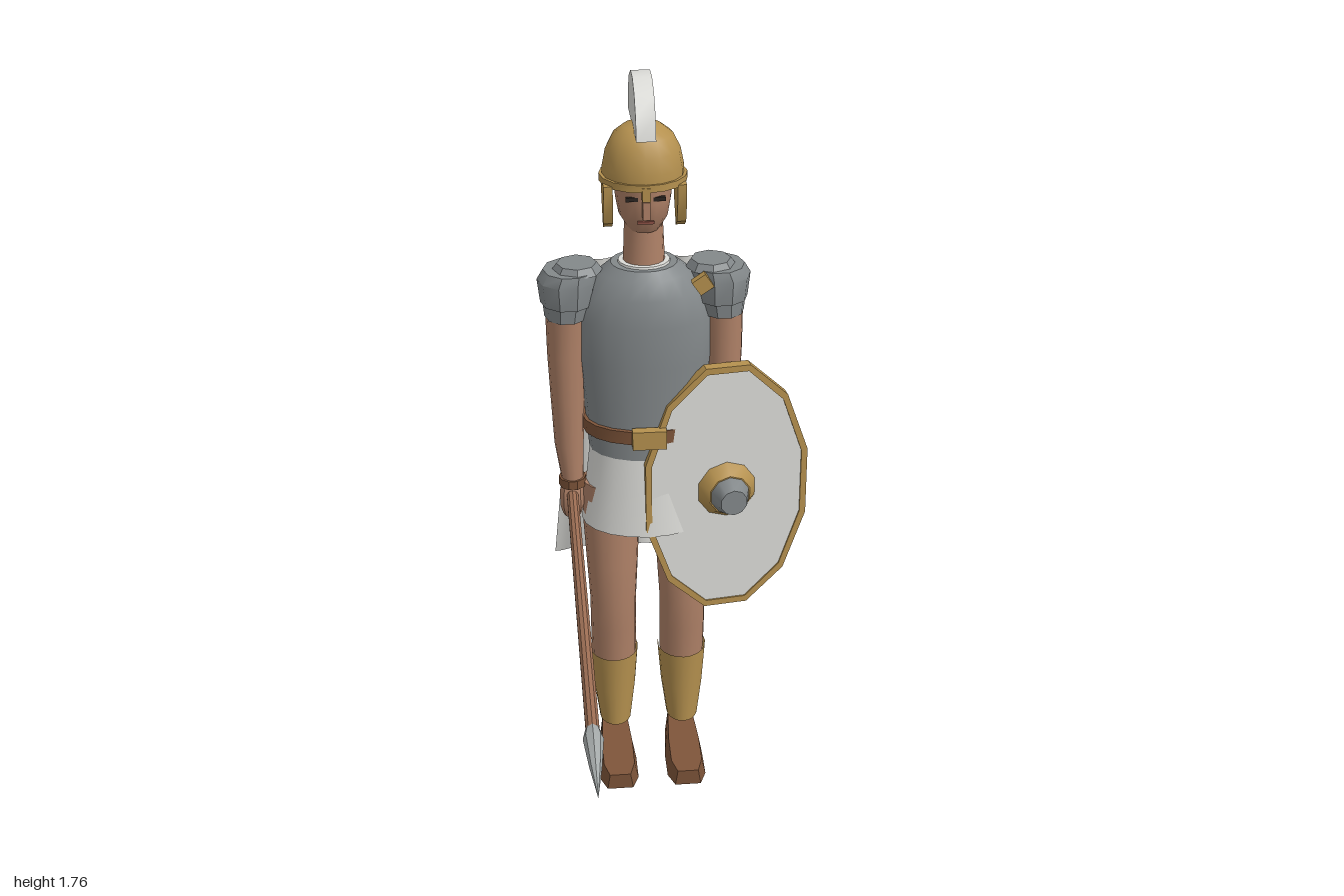
import * as THREE from 'three';
import { toCreasedNormals } from 'three/addons/utils/BufferGeometryUtils.js';

const CX = -0.068, CZ = -0.148; // body axis
const mat = (name, color, side = THREE.FrontSide) => {
  const m = new THREE.MeshStandardMaterial({ color, side });
  m.name = name;
  return m;
};

export function createModel() {
  const skin = mat('skin', 0xb08268);
  const gold = mat('bronze', 0xb5914f, THREE.DoubleSide);
  const steel = mat('steel', 0x83888a);
  const cloth = mat('whiteCloth', 0xdcdcd8, THREE.DoubleSide);
  const leather = mat('leather', 0x7d5439);
  const wood = mat('wood', 0x9c6e54);
  const blade = mat('blade', 0xa6abab);
  const dark = mat('darkEye', 0x2b2420);
  const lip = mat('lip', 0x8c5044);

  const root = new THREE.Group();
  root.name = 'spearman';
  const add = (name, geo, material, x = 0, y = 0, z = 0, parent = root) => {
    const m = new THREE.Mesh(toCreasedNormals(geo, 0.62), material);
    m.name = name;
    m.position.set(x, y, z);
    parent.add(m);
    return m;
  };
  const box = (name, w, h, d, material, x, y, z, parent) =>
    add(name, new THREE.BoxGeometry(w, h, d), material, x, y, z, parent);

  // Elliptical cross-sections [x, y, z, rx, rz] listed from bottom to top
  const loft = (rows, n = 16, start = 0, arc = Math.PI * 2, caps = true) => {
    const p = [], idx = [], w = n + 1;
    for (const [x, y, z, rx, rz] of rows)
      for (let j = 0; j <= n; j++) {
        const a = start + (arc * j) / n;
        p.push(x + Math.cos(a) * rx, y, z + Math.sin(a) * rz);
      }
    for (let i = 0; i < rows.length - 1; i++)
      for (let j = 0; j < n; j++) {
        const a = i * w + j, c = a + w;
        idx.push(a, c, a + 1, a + 1, c, c + 1);
      }
    if (caps) {
      const top = (rows.length - 1) * w, b = p.length / 3;
      p.push(...rows[0].slice(0, 3), ...rows[rows.length - 1].slice(0, 3));
      for (let j = 0; j < n; j++) idx.push(b, j, j + 1, b + 1, top + j + 1, top + j);
    }
    const g = new THREE.BufferGeometry();
    g.setAttribute('position', new THREE.Float32BufferAttribute(p, 3));
    g.setIndex(idx);
    return g;
  };
  const body = (rows, n) => loft(rows.map(([y, rx, rz]) => [CX, y, CZ, rx, rz]), n);
  const plate = (points, depth) => new THREE.ExtrudeGeometry(
    new THREE.Shape(points.map(([a, b]) => new THREE.Vector2(a, b))), { depth, bevelEnabled: false });

  // Torso, belt and skirt
  add('cuirass', body([[0.89, 0.133, 0.098], [1.0, 0.142, 0.1], [1.12, 0.153, 0.105],
    [1.22, 0.155, 0.107], [1.285, 0.135, 0.1], [1.325, 0.1, 0.085], [1.345, 0.075, 0.07]], 20), steel);
  add('collar', body([[1.335, 0.062, 0.06], [1.35, 0.058, 0.056]], 16), cloth);
  add('belt', body([[0.937, 0.147, 0.109], [0.97, 0.148, 0.11]], 20), leather);
  box('buckle', 0.078, 0.045, 0.024, gold, CX, 0.956, -0.034);
  add('skirt', body([[0.695, 0.155, 0.114], [0.8, 0.143, 0.107], [0.9, 0.131, 0.097]], 20), cloth);

  // Head and face
  add('neck', body([[1.32, 0.048, 0.045], [1.44, 0.043, 0.042]], 14), skin);
  add('head', body([[1.428, 0.036, 0.05], [1.46, 0.055, 0.07], [1.5, 0.062, 0.077],
    [1.57, 0.064, 0.08]], 16), skin);
  box('nose', 0.016, 0.04, 0.026, skin, CX, 1.493, -0.067);
  box('nasalGuard', 0.018, 0.03, 0.02, gold, CX, 1.53, -0.062);
  box('mouth', 0.036, 0.006, 0.008, lip, CX, 1.46, -0.078);

  // Helmet
  const dome = [[0.09, 1.545], [0.089, 1.57], [0.082, 1.605], [0.066, 1.637], [0.042, 1.656], [0, 1.664]];
  add('helmetDome', new THREE.LatheGeometry(dome.map(([r, y]) => new THREE.Vector2(r, y)), 16), gold, CX, 0, CZ);
  add('helmetBrim', body([[1.535, 0.097, 0.095], [1.551, 0.097, 0.095]], 16), gold);
  box('neckGuard', 0.17, 0.025, 0.05, gold, CX, 1.5, -0.245);

  // Crest: a faceted half fan
  const fan = [];
  for (let i = 0; i <= 7; i++) {
    const a = (Math.PI * i) / 7;
    fan.push([0.17 + Math.cos(a) * 0.126, 1.65 + Math.sin(a) * 0.113]);
  }
  const crest = add('crest', plate(fan, 0.042), cloth, CX - 0.021);
  crest.rotation.y = Math.PI / 2;

  // Paired parts
  for (const s of [-1, 1]) {
    const side = new THREE.Group();
    side.name = s > 0 ? 'leftSide' : 'rightSide';
    root.add(side);
    const X = (d) => CX + s * d;

    box('eye', 0.026, 0.009, 0.009, dark, X(0.03), 1.513, -0.079, side);
    const cheek = add('cheekGuard', plate([[0.085, 1.54], [0.2, 1.54], [0.175, 1.485], [0.135, 1.432],
      [0.105, 1.45], [0.085, 1.5]], 0.02), gold, X(0.08) - 0.01, 0, 0, side);
    cheek.rotation.y = Math.PI / 2;

    // Arm with layered shoulder guard
    const ax = (d) => X(0.18 + d);
    add('arm', loft([[ax(-0.005), 0.81, -0.142, 0.026, 0.029], [ax(0), 0.9, -0.144, 0.034, 0.036],
      [ax(0), 1.02, -0.145, 0.039, 0.043], [ax(0), 1.13, -0.145, 0.043, 0.048],
      [ax(-0.003), 1.26, -0.145, 0.047, 0.055]], 14), skin, 0, 0, 0, side);
    add('sleeve', loft([[ax(-0.004), 1.222, -0.145, 0.05, 0.058], [ax(-0.008), 1.27, -0.147, 0.058, 0.064]],
      10), steel, 0, 0, 0, side);
    add('shoulderGuard', loft([[ax(-0.008), 1.255, -0.148, 0.062, 0.068], [ax(-0.008), 1.31, -0.148, 0.068, 0.073],
      [ax(-0.014), 1.333, -0.148, 0.06, 0.066]], 10), steel, 0, 0, 0, side);
    add('shoulderCap', loft([[ax(-0.03), 1.328, -0.148, 0.058, 0.06], [ax(-0.03), 1.346, -0.148, 0.045, 0.047]],
      8), steel, 0, 0, 0, side);
    add('wristBand', loft([[ax(-0.005), 0.79, -0.142, 0.032, 0.035], [ax(-0.005), 0.812, -0.142, 0.032, 0.035]],
      10), leather, 0, 0, 0, side);
    add('hand', loft([[ax(-0.002), 0.712, -0.14, 0.022, 0.024], [ax(-0.002), 0.735, -0.138, 0.028, 0.034],
      [ax(-0.002), 0.775, -0.138, 0.028, 0.034], [ax(-0.005), 0.8, -0.142, 0.023, 0.026]], 8), skin, 0, 0, 0, side);

    // Leg, greave and sandal
    const lx = X(0.085);
    const shin = [[0.1, -0.155, 0.034, 0.043], [0.2, -0.162, 0.047, 0.055], [0.305, -0.163, 0.055, 0.062]];
    add('leg', loft([...shin, [0.39, -0.152, 0.056, 0.06], [0.47, -0.14, 0.056, 0.056], [0.58, -0.143, 0.062, 0.06],
      [0.7, -0.148, 0.068, 0.064], [0.8, -0.148, 0.066, 0.066]].map(([y, z, a, b]) => [lx, y, z, a, b]), 16),
      skin, 0, 0, 0, side);
    add('greave', loft(shin.map(([y, z, a, b]) => [lx, y + 0.004, z, a + 0.005, b + 0.008]),
      12, -0.3, Math.PI + 0.6, false), gold, 0, 0, 0, side);

    const sole = plate([[-0.038, 0.21], [-0.048, 0.1], [-0.048, 0.02], [-0.032, -0.02],
      [0.032, -0.02], [0.048, 0.02], [0.048, 0.1], [0.038, 0.21]], 0.064);
    sole.rotateX(-Math.PI / 2); // outline now lies on the ground, heel towards -z
    const v = sole.attributes.position;
    for (let i = 0; i < v.count; i++) // slope the instep down to the toe and narrow the top
      if (v.getY(i) > 0.03) {
        v.setY(i, 0.042 - (v.getZ(i) - 0.02) * 0.1);
        v.setX(i, v.getX(i) * 0.8);
      }
    add('sandal', sole, leather, lx, 0, 0, side);
  }

  // Cape with folds and a widening hem
  const cape = new THREE.PlaneGeometry(2, 1, 32, 10);
  const c = cape.attributes.position;
  for (let i = 0; i < c.count; i++) {
    const u = c.getX(i), t = 0.5 - c.getY(i);
    const wave = Math.cos(u * Math.PI * 3) * (0.007 + 0.008 * t);
    c.setXYZ(i, CX + u * (0.14 + 0.08 * t), 1.325 - 0.815 * t + wave * t,
      -0.227 - 0.082 * t + wave + 0.012 * u * u * (1 - t));
  }
  add('cape', cape, cloth);
  const brooch = box('brooch', 0.036, 0.036, 0.022, gold, 0.057, 1.311, -0.085);
  brooch.rotation.z = 0.6;

  // Shield: twelve-sided oval with rim, painted face, leather back and boss
  const shield = new THREE.Group();
  shield.name = 'shield';
  shield.position.set(0.113, 0.798, -0.075);
  shield.rotation.y = 0.14;
  root.add(shield);
  const oval = (rx, ry) => Array.from({ length: 12 }, (_, i) => {
    const a = ((i + 0.5) * Math.PI) / 6;
    return new THREE.Vector2(Math.cos(a) * rx, Math.sin(a) * ry);
  });
  const rim = new THREE.Shape(oval(0.201, 0.328));
  rim.holes.push(new THREE.Path(oval(0.186, 0.312)));
  add('shieldRim', new THREE.ExtrudeGeometry(rim, { depth: 0.026, bevelEnabled: false }), gold, 0, 0, -0.013, shield);
  add('shieldFace', plate(oval(0.188, 0.314).map((q) => [q.x, q.y]), 0.009), cloth, 0, 0, 0, shield);
  add('shieldBack', plate(oval(0.199, 0.326).map((q) => [q.x, q.y]), 0.013), leather, 0, 0, -0.0145, shield);
  const disc = (name, r0, r1, len, n, m, z) => {
    const g = new THREE.CylinderGeometry(r1, r0, len, n);
    g.rotateX(Math.PI / 2);
    add(name, g, m, 0, 0, z, shield);
  };
  disc('bossBase', 0.073, 0.05, 0.035, 10, gold, 0.024);
  disc('bossDome', 0.048, 0.032, 0.04, 10, steel, 0.059);

  // Spear lying level in the right hand
  const spear = new THREE.Group();
  spear.name = 'spear';
  spear.position.set(-0.245, 0.773, 0);
  root.add(spear);
  const rod = (name, points, n, m) => {
    const g = new THREE.LatheGeometry(points.map(([r, z]) => new THREE.Vector2(r, z)), n);
    g.rotateX(Math.PI / 2);
    add(name, g, m, 0, 0, 0, spear);
  };
  rod('spearShaft', [[0.014, -0.97], [0.014, 0.82]], 10, wood);
  rod('spearHead', [[0, 0.795], [0.014, 0.795], [0.02, 0.825], [0.012, 0.91], [0, 1]], 8, blade);
  rod('spearButt', [[0, -1], [0.012, -1], [0.018, -0.965], [0, -0.965]], 8, steel);

  return root;
}
